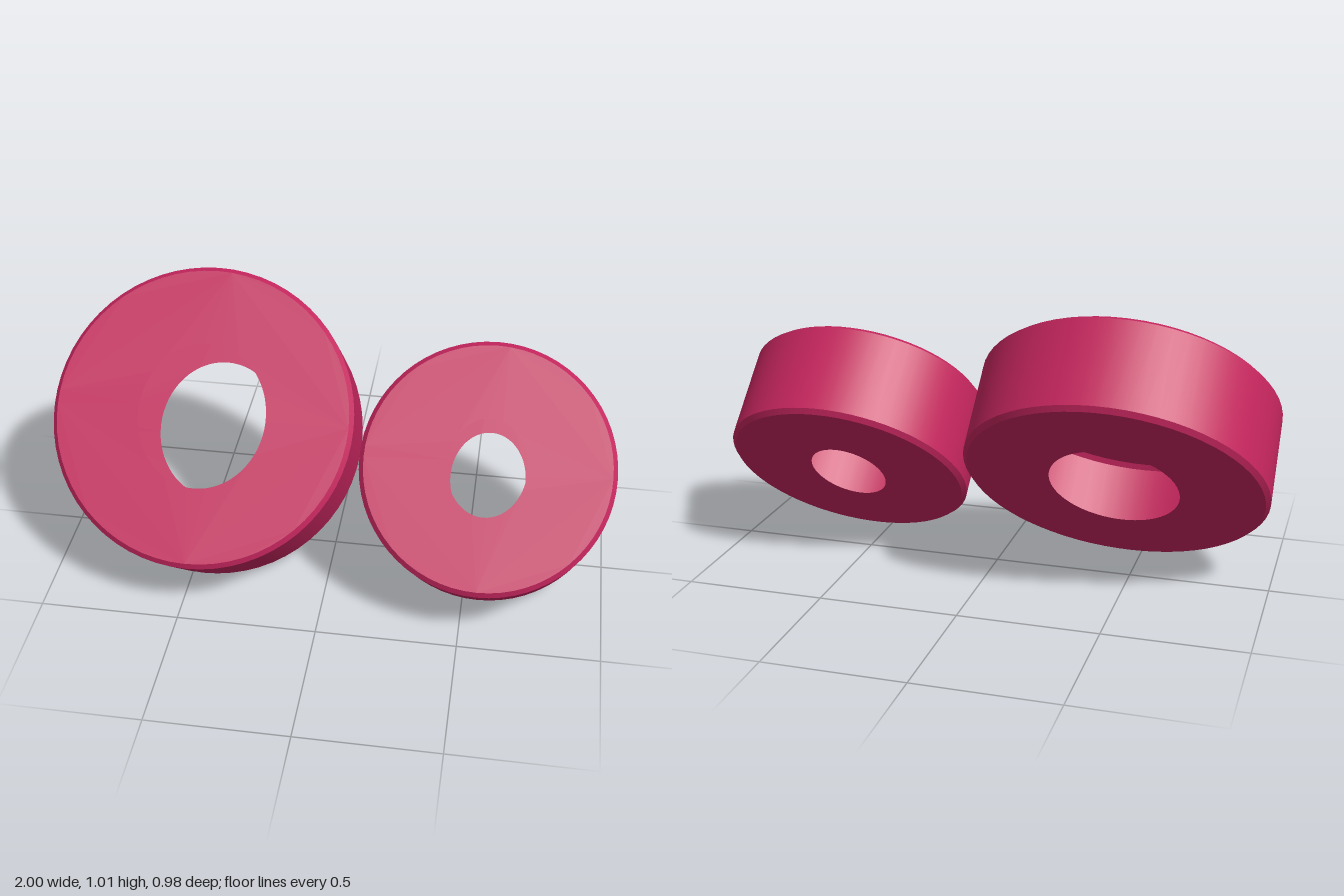
import * as THREE from 'three';

const pink = new THREE.MeshStandardMaterial({ color: 0xc2255c, side: THREE.DoubleSide });
pink.name = 'pink';

const HALF = 0.182;   // half of the thickness
const BEVEL = 0.016;
const TILT = 0.816;   // lean of the ring axis towards the front

// Hollow ring: outer wall, two bevels and two face plates with oval openings
function makeRing(name, radius, holeX, holeZ) {
  const ring = new THREE.Group();
  ring.name = name;
  const add = (geometry, part) => {
    const mesh = new THREE.Mesh(geometry, pink);
    mesh.name = part;
    ring.add(mesh);
    return mesh;
  };
  const inner = radius - BEVEL;

  add(new THREE.CylinderGeometry(radius, radius, 2 * (HALF - BEVEL), 64, 1, true), 'outerWall');
  add(new THREE.CylinderGeometry(inner, radius, BEVEL, 64, 1, true), 'frontBevel')
    .position.y = HALF - BEVEL / 2;
  add(new THREE.CylinderGeometry(radius, inner, BEVEL, 64, 1, true), 'backBevel')
    .position.y = -HALF + BEVEL / 2;

  // Face plates
  const shape = new THREE.Shape().absarc(0, 0, inner, 0, Math.PI * 2, false);
  shape.holes.push(new THREE.Path().absellipse(0, 0, holeX, holeZ, 0, Math.PI * 2, true));
  for (const side of [1, -1]) {
    const plate = add(new THREE.ShapeGeometry(shape, 32), side > 0 ? 'frontPlate' : 'backPlate');
    plate.rotation.x = -side * Math.PI / 2;
    plate.position.y = side * HALF;
  }
  ring.rotation.x = TILT;
  return ring;
}

export function createModel() {
  const model = new THREE.Group();
  model.name = 'ringPair';

  const large = makeRing('largeRing', 0.54, 0.23, 0.259);
  large.position.set(-0.46, 0.508, 0);

  const small = makeRing('smallRing', 0.445, 0.138, 0.172);
  small.position.set(0.555, 0.439, 0.065);

  model.add(large, small);
  return model;
}
